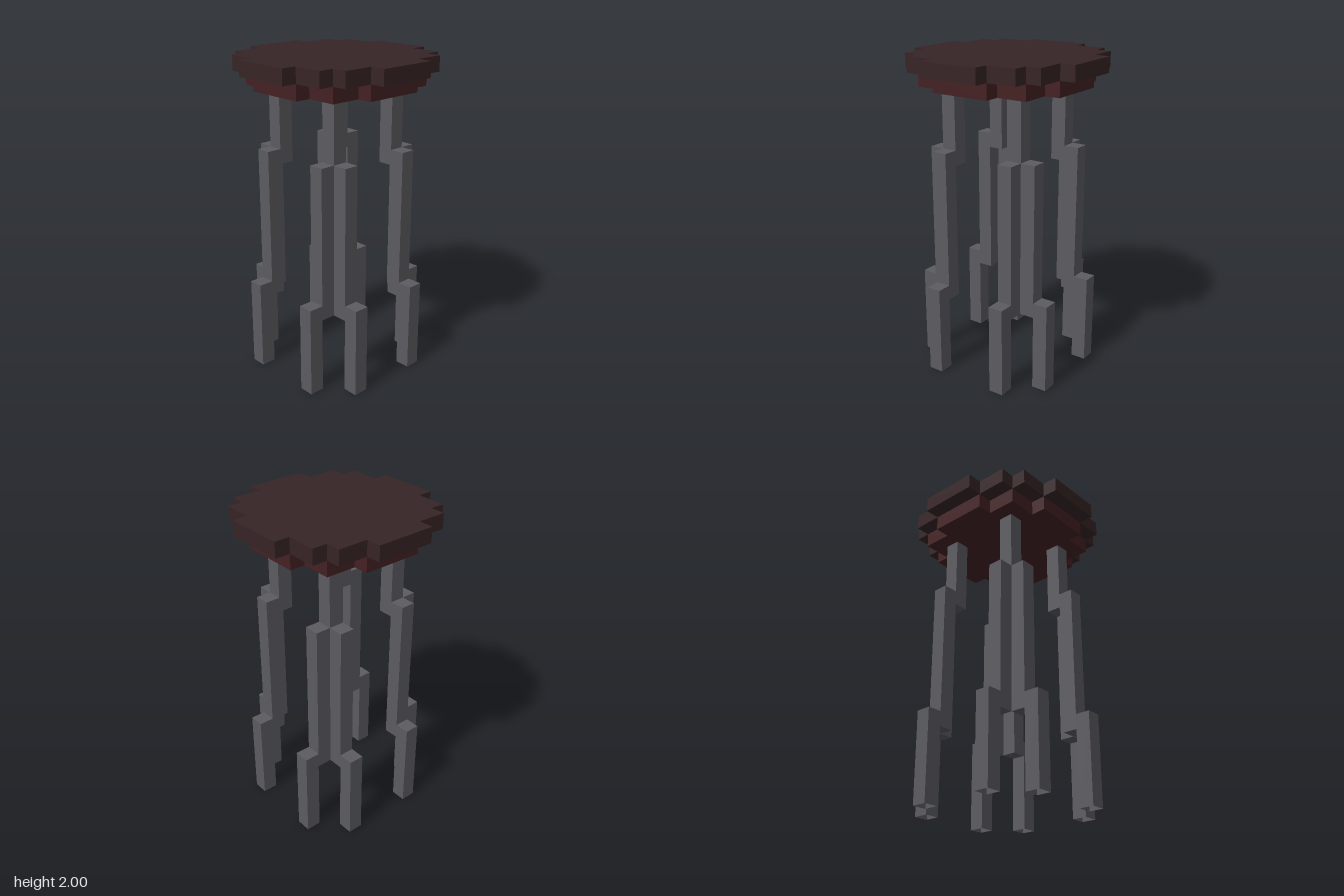
import * as THREE from 'three';

const U = 2 / 21; // one block

export function createModel() {
  const model = new THREE.Group();
  model.name = 'stool';

  const seatTop = new THREE.MeshStandardMaterial({ color: 0x372425 });
  seatTop.name = 'dark brown';
  const seatBase = new THREE.MeshStandardMaterial({ color: 0x452123 });
  seatBase.name = 'red brown';
  const metal = new THREE.MeshStandardMaterial({ color: 0x5c5b61, side: THREE.DoubleSide });
  metal.name = 'grey metal';

  // Stepped round slab, one block thick; corners trace one quadrant
  function slab(name, corners, y, material) {
    const points = [];
    for (let i = 0; i < 4; i++) {
      for (const [a, b] of corners) {
        const [x, z] = [[a, b], [-b, a], [-a, -b], [b, -a]][i];
        points.push(new THREE.Vector2(x * U, z * U));
      }
    }
    const geometry = new THREE.ExtrudeGeometry(new THREE.Shape(points), { depth: U, bevelEnabled: false });
    geometry.rotateX(-Math.PI / 2).translate(0, y * U, 0);
    const mesh = new THREE.Mesh(geometry, material);
    mesh.name = name;
    model.add(mesh);
  }
  slab('seatTop', [[6, 2], [5, 2], [5, 4], [4, 4], [4, 5], [2, 5], [2, 6]], 20, seatTop);
  slab('seatBase', [[5, 2], [4, 2], [4, 4], [2, 4], [2, 5]], 19, seatBase);

  // Bar one block square, centred at block position x, z
  function bar(name, x, z, y0, y1, open = false) {
    const geometry = new THREE.BoxGeometry(U, (y1 - y0) * U, U);
    if (open) { // hollow foot: leave out the underside
      const index = Array.from(geometry.index.array);
      index.splice(18, 6);
      geometry.setIndex(index);
      geometry.clearGroups();
    }
    const mesh = new THREE.Mesh(geometry, metal);
    mesh.name = name;
    mesh.position.set(x * U, (y0 + y1) / 2 * U, z * U);
    return mesh;
  }

  // Four legs, each forking into two stepped shins and feet
  for (const sx of [-1, 1]) {
    for (const sz of [-1, 1]) {
      const leg = new THREE.Group();
      leg.name = (sz > 0 ? 'front' : 'back') + (sx > 0 ? 'Left' : 'Right') + 'Leg';
      leg.add(
        bar('upperLeg', sx * 2.5, sz * 2.5, 14, 19),
        bar('sideShin', sx * 3.5, sz * 2.5, 5, 15),
        bar('endShin', sx * 2.5, sz * 3.5, 5, 15),
        bar('sideFoot', sx * 4.5, sz * 2.5, 0, 6, true),
        bar('endFoot', sx * 2.5, sz * 4.5, 0, 6, true),
      );
      model.add(leg);
    }
  }
  return model;
}
